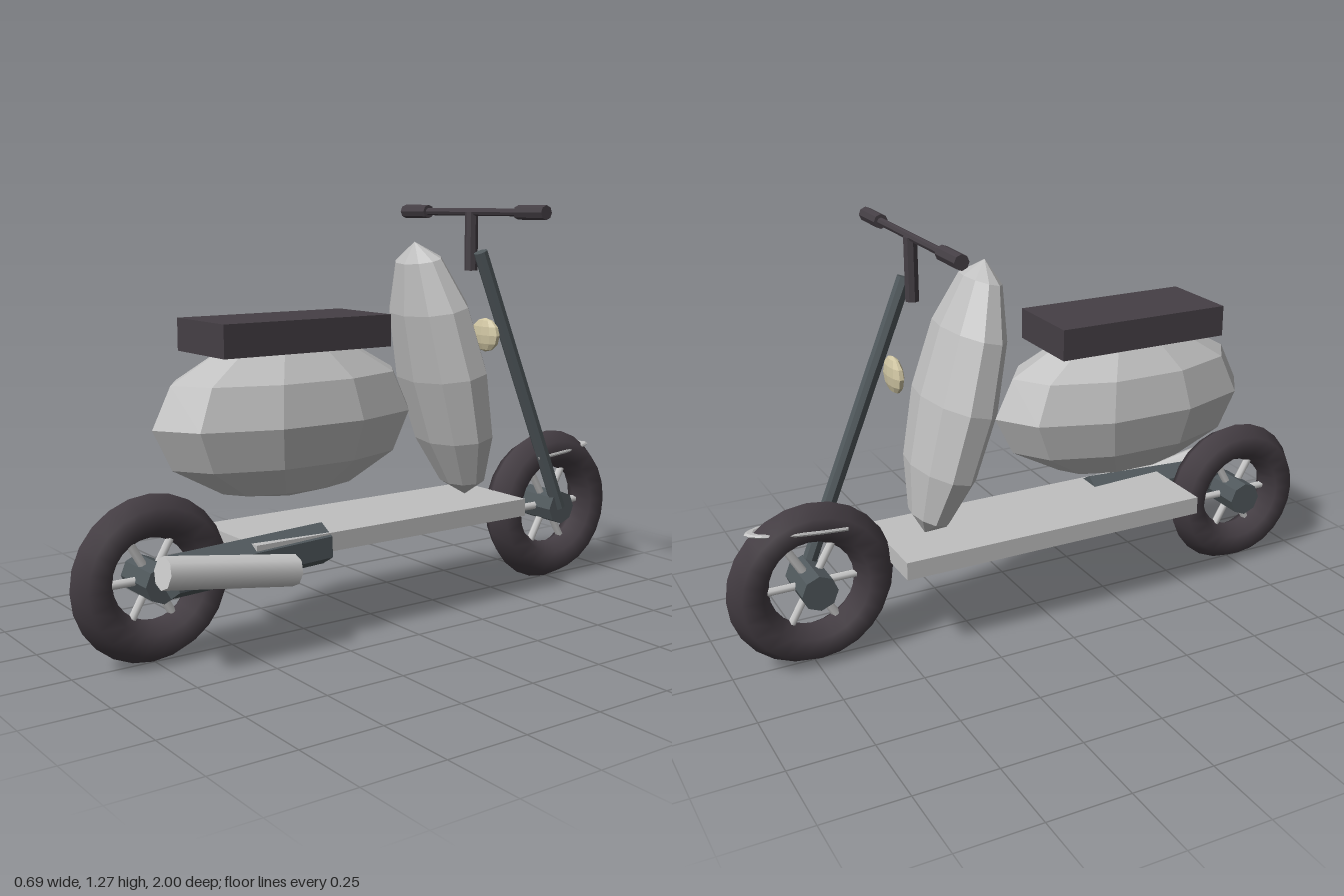
import * as THREE from 'three';

const mat = (name, color, flatShading = false) => {
  const m = new THREE.MeshStandardMaterial({ color });
  m.name = name;
  m.flatShading = flatShading;
  return m;
};

export function createModel() {
  const model = new THREE.Group();
  model.name = 'scooter';

  const paint = mat('silverPaint', 0xc0c0c0, true);
  const chrome = mat('chrome', 0xcccccc);
  const rubber = mat('rubber', 0x443d43);
  const vinyl = mat('darkVinyl', 0x453f45, true);
  const steel = mat('slateSteel', 0x50585c, true);
  const glass = mat('lampGlass', 0xcfc5a2, true);

  const add = (name, geometry, material, parent = model) => {
    const mesh = new THREE.Mesh(geometry, material);
    mesh.name = name;
    parent.add(mesh);
    return mesh;
  };

  // Cylinder running between two points
  const rod = (name, a, b, radius, sides, material, parent = model) => {
    const from = new THREE.Vector3(...a), to = new THREE.Vector3(...b);
    const dir = to.clone().sub(from);
    const mesh = add(name, new THREE.CylinderGeometry(radius, radius, dir.length(), sides), material, parent);
    mesh.position.copy(from).add(to).multiplyScalar(0.5);
    mesh.quaternion.setFromUnitVectors(new THREE.Vector3(0, 1, 0), dir.normalize());
    return mesh;
  };

  // Faceted ellipsoid with a seam of corners on its centre line
  const pod = (name, [rx, ry, rz], [x, y, z], material, tilt = 0) => {
    const g = new THREE.SphereGeometry(1, 10, 6).rotateY(Math.PI / 2).scale(rx, ry, rz);
    const mesh = add(name, g, material);
    mesh.position.set(x, y, z);
    mesh.rotation.x = tilt;
  };

  const box = (name, size, [x, y, z], material) =>
    add(name, new THREE.BoxGeometry(...size), material).position.set(x, y, z);

  // Wheels: hexagonal-section tyre, hub and six spokes
  const wheel = (name, ring, y, z) => {
    const group = new THREE.Group();
    group.name = name;
    group.position.set(0, y, z);
    model.add(group);
    add('tyre', new THREE.TorusGeometry(ring, 0.0625, 6, 24).rotateY(Math.PI / 2), rubber, group);
    rod('hub', [-0.079, 0, 0], [0.079, 0, 0], 0.055, 8, steel, group);
    for (let i = 0; i < 6; i++) {
      const a = i * Math.PI / 3;
      const tip = [0, Math.sin(a) * ring, Math.cos(a) * ring];
      rod('spoke', [0, 0, 0], tip, 0.013, 6, chrome, group);
    }
  };
  wheel('rearWheel', 0.18, 0.248, 0.755);
  wheel('frontWheel', 0.193, 0.26, -0.744);

  // Bodywork
  box('floorboard', [0.315, 0.056, 1.01], [0, 0.309, 0], paint);
  pod('rearBody', [0.207, 0.24, 0.44], [0, 0.665, 0.3], paint);
  pod('legShield', [0.197, 0.425, 0.11], [0, 0.754, -0.275], paint, 0.253);
  box('seat', [0.268, 0.095, 0.565], [0, 0.912, 0.303], vinyl);
  pod('headlight', [0.066, 0.055, 0.021], [0, 0.86, -0.462], glass);

  // Steering: single-sided fork, stem, bar and grips
  rod('fork', [0.04, 1.13, -0.402], [0.065, 0.26, -0.743], 0.023, 8, steel);
  rod('stem', [0, 1.07, -0.397], [0, 1.255, -0.397], 0.021, 8, vinyl);
  rod('handlebar', [-0.3, 1.255, -0.397], [0.3, 1.255, -0.397], 0.012, 8, vinyl);
  for (const s of [-1, 1]) {
    rod('grip', [s * 0.22, 1.255, -0.397], [s * 0.344, 1.255, -0.397], 0.022, 8, vinyl);
  }

  // Slim fender hoop looping around the front of the wheel
  const hoop = add('frontFender',
    new THREE.TorusGeometry(1, 0.06, 6, 12, Math.PI).rotateX(-Math.PI / 2).scale(0.064, 0.1, 0.272), paint);
  hoop.position.set(0, 0.439, -0.645);
  hoop.rotation.x = 0.055;

  // Drive casing and exhaust on one side
  rod('driveCasing', [0.105, 0.275, 0.75], [0.11, 0.297, 0.253], 0.063, 6, steel);
  rod('exhaust', [0.182, 0.314, 0.81], [0.168, 0.25, 0.39], 0.047, 8, chrome);

  return model;
}
